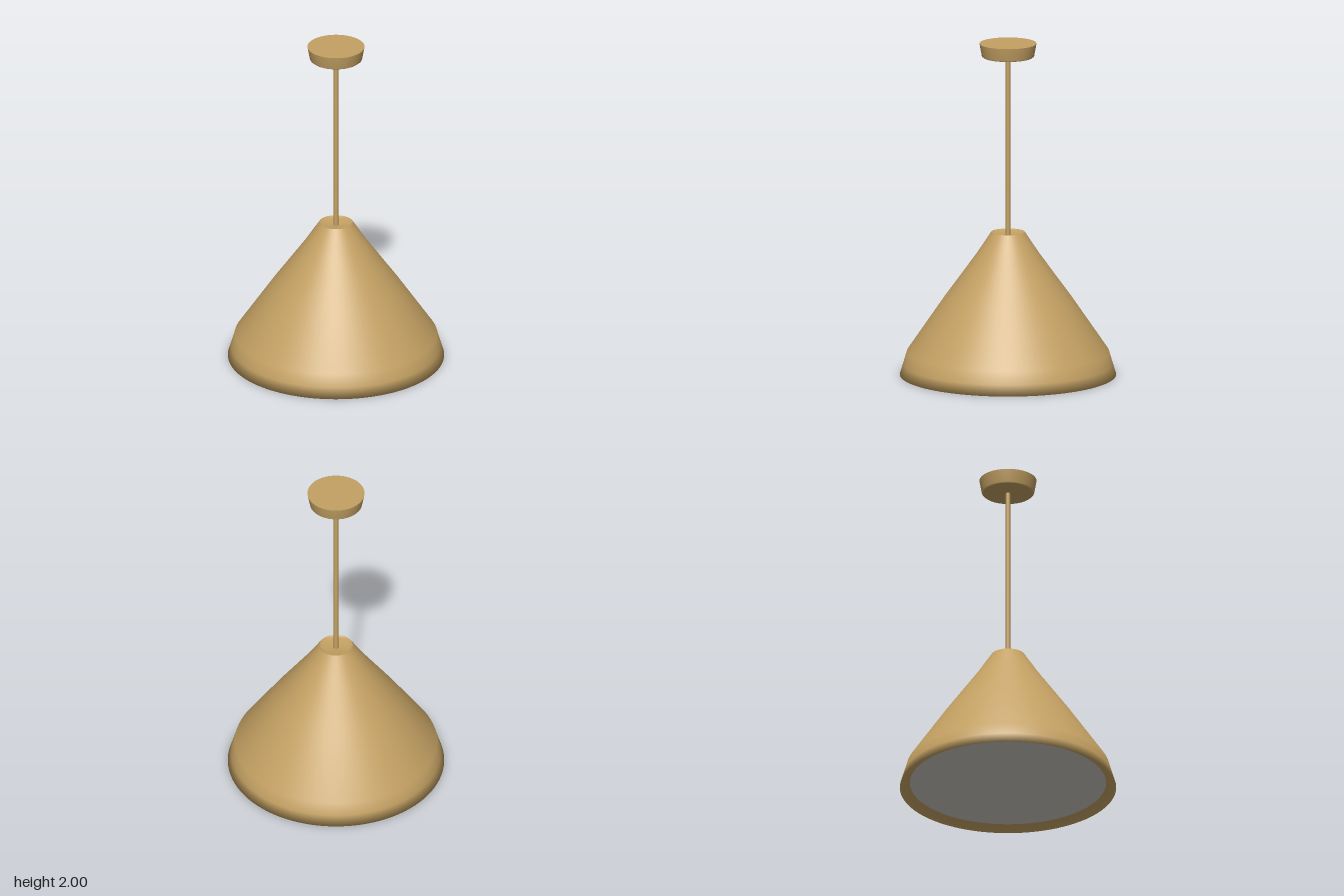
import * as THREE from 'three';

const SEGMENTS = 96;

export function createModel() {
  const lamp = new THREE.Group();
  lamp.name = 'pendantLamp';

  const brass = new THREE.MeshStandardMaterial({ color: 0xc4a163 });
  brass.name = 'brushed brass';
  const white = new THREE.MeshStandardMaterial({ color: 0xccc8c0 });
  white.name = 'diffuser white';

  const add = (name, geometry, material, y = 0) => {
    const mesh = new THREE.Mesh(geometry, material);
    mesh.name = name;
    mesh.position.y = y;
    lamp.add(mesh);
    return mesh;
  };
  // Profiles run upwards along the outside, as [radius, height]
  const lathe = (profile) => new THREE.LatheGeometry(
    profile.map(([r, y]) => new THREE.Vector2(r, y)), SEGMENTS);

  // Conical shade with a flared skirt and a turned-in lower rim
  add('shade', lathe([
    [0.58, 0.03], [0.64, 0], [0.62, 0.065], [0.598, 0.14],
    [0.38, 0.46], [0.185, 0.73], [0.1, 0.86],
  ]), brass);

  // Slightly dished top of the shade, where the rod enters
  add('shadeTop', lathe([[0.1, 0.86], [0.085, 0.848], [0, 0.84]]), brass);

  // Flat diffuser closing the underside
  const diffuser = new THREE.CircleGeometry(0.58, SEGMENTS);
  diffuser.rotateX(Math.PI / 2);
  add('diffuser', diffuser, white, 0.03);

  // Hanging rod
  add('rod', new THREE.CylinderGeometry(0.0135, 0.0135, 1.09, 24), brass, 1.385);

  // Ceiling canopy: tapered wall, eased lower edge, flat ends
  add('canopyWall', lathe([[0.148, 1.918], [0.155, 1.924], [0.169, 2]]), brass);
  const canopyTop = new THREE.CircleGeometry(0.169, SEGMENTS);
  canopyTop.rotateX(-Math.PI / 2);
  add('canopyTop', canopyTop, brass, 2);
  const canopyBase = new THREE.CircleGeometry(0.148, SEGMENTS);
  canopyBase.rotateX(Math.PI / 2);
  add('canopyBase', canopyBase, brass, 1.918);

  return lamp;
}
